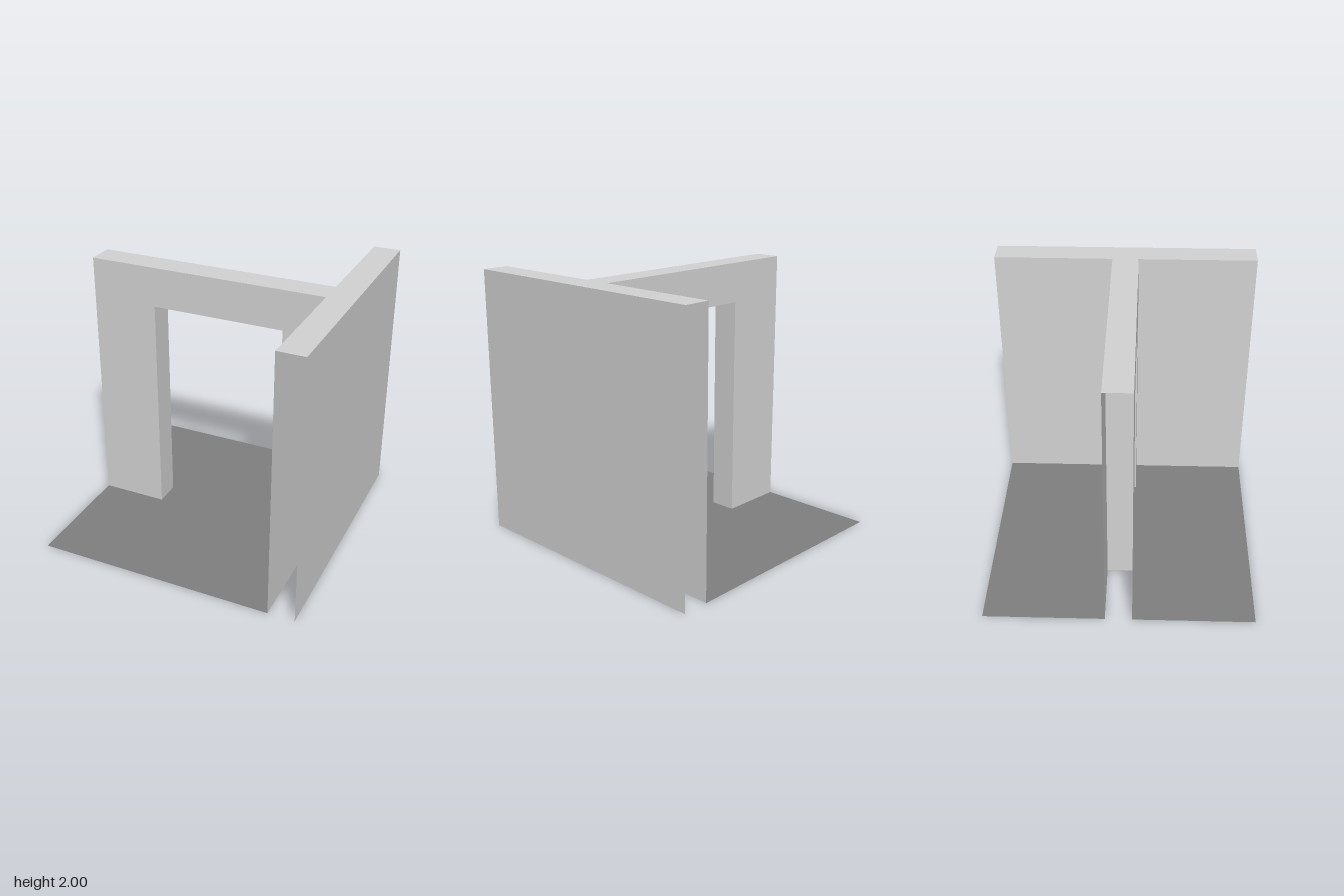
import * as THREE from 'three';

const wallMaterial = new THREE.MeshStandardMaterial({ color: 0xd3d3d3, side: THREE.DoubleSide });
wallMaterial.name = 'light grey wall';
const floorMaterial = new THREE.MeshStandardMaterial({ color: 0x808080, side: THREE.DoubleSide });
floorMaterial.name = 'dark grey floor';

const T = 0.1;                    // half thickness of the partition
const INNER = 0.8, OUTER = 1;     // faces of the side wall
const DOOR = 0.5, HEAD = 1.7;     // doorway half width and height
const TOP = 2;

const outline = (points) => new THREE.Shape(points.map(([x, y]) => new THREE.Vector2(x, y)));

// Flat sheet drawn in its own XY plane
function sheet(name, points, material) {
  const mesh = new THREE.Mesh(new THREE.ShapeGeometry(outline(points)), material);
  mesh.name = name;
  return mesh;
}

// Sheet facing up, drawn in x and z
function level(name, points, y, material) {
  const mesh = sheet(name, points.map(([x, z]) => [x, -z]), material);
  mesh.rotation.x = -Math.PI / 2;
  mesh.position.y = y;
  return mesh;
}

// Upright sheet facing +x or -x, between two z values
function across(name, x, z0, z1, height, facing) {
  const mesh = new THREE.Mesh(new THREE.PlaneGeometry(z1 - z0, height), wallMaterial);
  mesh.name = name;
  mesh.rotation.y = facing * Math.PI / 2;
  mesh.position.set(x, height / 2, (z0 + z1) / 2);
  return mesh;
}

export function createModel() {
  const model = new THREE.Group();
  model.name = 'roomCorner';

  // Floor, cut out where the partition stands
  model.add(level('floor', [
    [-1, -1], [INNER, -1], [INNER, -T], [DOOR, -T], [DOOR, T], [INNER, T],
    [INNER, 1], [-1, 1], [-1, T], [-DOOR, T], [-DOOR, -T], [-1, -T],
  ], 0, floorMaterial));

  // Partition faces with the doorway
  const partition = new THREE.Group();
  partition.name = 'partition';
  const arch = [
    [-1, 0], [-DOOR, 0], [-DOOR, HEAD], [DOOR, HEAD],
    [DOOR, 0], [INNER, 0], [INNER, TOP], [-1, TOP],
  ];
  const front = sheet('partitionFront', arch, wallMaterial);
  front.position.z = T;
  const back = sheet('partitionBack', arch.map(([x, y]) => [-x, y]), wallMaterial);
  back.rotation.y = Math.PI;
  back.position.z = -T;
  partition.add(front, back);

  // Door lining
  partition.add(across('leftJamb', DOOR, -T, T, HEAD, -1));
  partition.add(across('rightJamb', -DOOR, -T, T, HEAD, 1));
  const head = new THREE.Mesh(new THREE.PlaneGeometry(2 * DOOR, 2 * T), wallMaterial);
  head.name = 'doorHead';
  head.rotation.x = Math.PI / 2;
  head.position.y = HEAD;
  partition.add(head);
  model.add(partition);

  // Hollow side wall, open at its ends and where the partition joins
  const sideWall = new THREE.Group();
  sideWall.name = 'sideWall';
  sideWall.add(across('outerFace', OUTER, -1, 1, TOP, 1));
  sideWall.add(across('innerFaceFront', INNER, T, 1, TOP, -1));
  sideWall.add(across('innerFaceBack', INNER, -1, -T, TOP, -1));
  model.add(sideWall);

  // One T-shaped top over both walls
  model.add(level('wallTop', [
    [-1, -T], [INNER, -T], [INNER, -1], [OUTER, -1],
    [OUTER, 1], [INNER, 1], [INNER, T], [-1, T],
  ], TOP, wallMaterial));

  return model;
}
